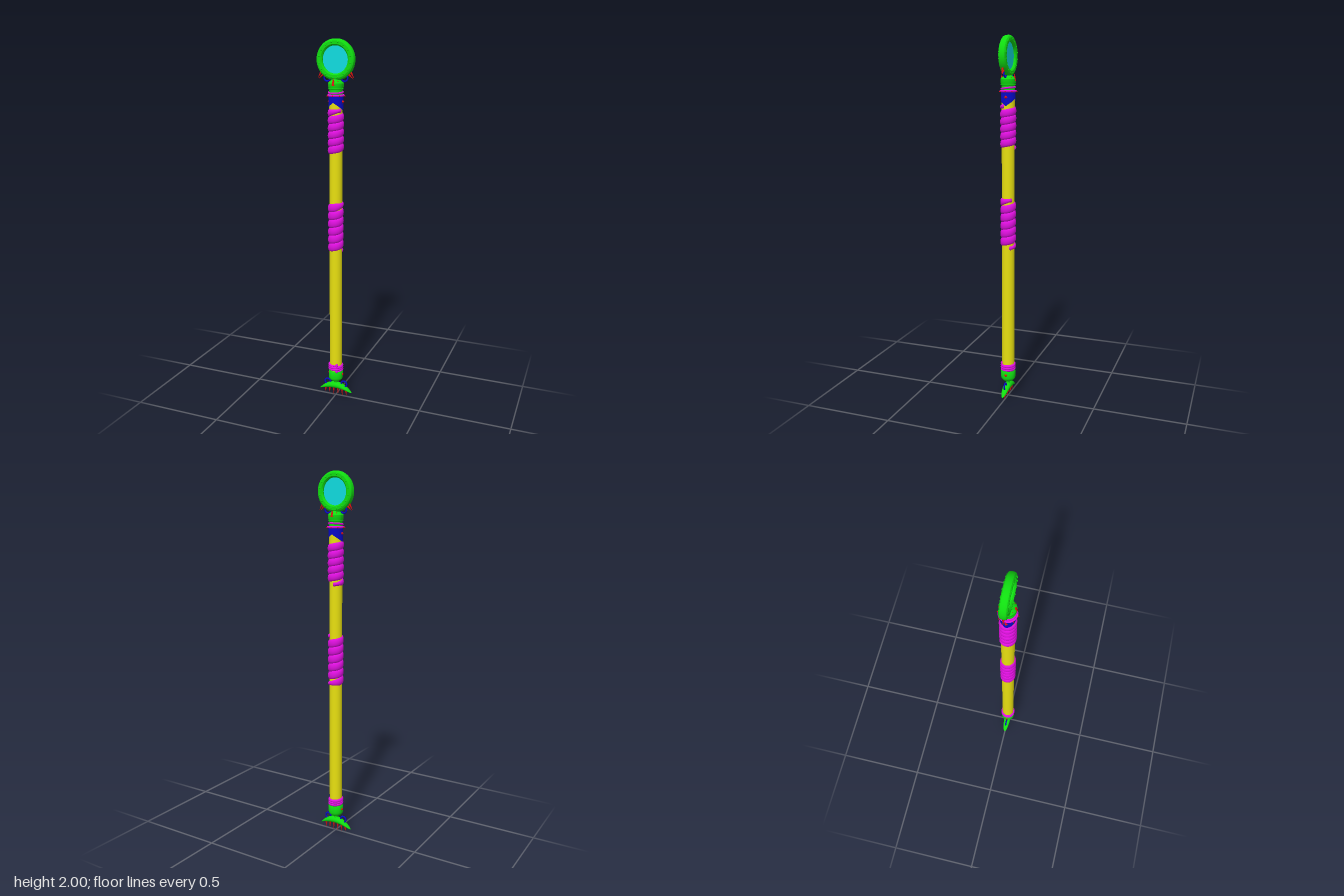
import * as THREE from 'three';
import { toCreasedNormals } from 'three/addons/utils/BufferGeometryUtils.js';
import { ParametricGeometry } from 'three/addons/geometries/ParametricGeometry.js';

const TAU = Math.PI * 2;
const mat = (color) => new THREE.MeshStandardMaterial({ color, side: THREE.DoubleSide });
const gold = mat(0xe8e010), green = mat(0x10dd10), magenta = mat(0xe010e0);
const red = mat(0xe01010), blue = mat(0x0808c8), cyan = mat(0x10dde0);

export function createModel() {
  const root = new THREE.Group();

  function add(name, geometry, material, x = 0, y = 0, z = 0, parent = root) {
    const mesh = new THREE.Mesh(geometry, material);
    mesh.name = name;
    mesh.position.set(x, y, z);
    parent.add(mesh);
    return mesh;
  }
  // Turned part from [radius, height] pairs listed upward
  function turned(name, pts, material) {
    const g = new THREE.LatheGeometry(pts.map(p => new THREE.Vector2(...p)), 32);
    return add(name, toCreasedNormals(g, 0.6), material);
  }
  // Cone whose tip points along dir, with its base centre at the position
  function spike(name, pos, dir, radius, length) {
    const g = new THREE.ConeGeometry(radius, length, 8).translate(0, length / 2, 0);
    const mesh = add(name, g, red, ...pos);
    mesh.quaternion.setFromUnitVectors(new THREE.Vector3(0, 1, 0), new THREE.Vector3(...dir).normalize());
    return mesh;
  }
  // Flattened cord wound around the shaft, tapering at both ends
  function wrap(name, y0, y1, turns, start, half) {
    const f = (u, v, out) => {
      const a = start + u * turns * TAU, s = v * TAU;
      const taper = Math.min(1, 0.35 + 8 * Math.min(u, 1 - u) * turns / 4);
      const r = 0.0335 + 0.0095 * Math.cos(s);
      const y = y0 + half + u * (y1 - y0 - 2 * half) + half * taper * Math.sin(s);
      out.set(r * Math.sin(a), y, r * Math.cos(a));
    };
    add(name, new ParametricGeometry(f, Math.round(turns * 28), 12), magenta);
    // rounded cord ends
    for (const u of [0, 1]) {
      const a = start + u * turns * TAU;
      const end = add(name + 'End', new THREE.SphereGeometry(0.009, 12, 8), magenta,
        0.034 * Math.sin(a), y0 + half + u * (y1 - y0 - 2 * half), 0.034 * Math.cos(a));
      end.scale.y = 1.3;
    }
  }

  // Shaft and grips
  add('shaft', new THREE.CylinderGeometry(0.0345, 0.0345, 1.56, 32), gold, 0, 0.93, 0);
  wrap('upperGrip', 1.40, 1.66, 5.6, 3.5, 0.021);
  wrap('middleGrip', 0.855, 1.165, 6, 2.3, 0.023);
  wrap('lowerBinding', 0.155, 0.208, 3, 0.5, 0.009);

  // Blue collar with a point on each side
  const collar = (u, v, out) => {
    const a = u * TAU;
    const side = Math.abs(Math.asin(Math.sin(a))) / (Math.PI / 2);
    const low = 1.68 - 0.04 * side;
    out.set(0.0385 * Math.sin(a), low + v * (1.718 - low), 0.0385 * Math.cos(a));
  };
  add('collar', new ParametricGeometry(collar, 48, 4), blue);

  // Neck between collar and ring
  turned('neck', [[0, 1.705], [0.036, 1.705], [0.036, 1.73], [0.034, 1.745], [0.041, 1.76],
    [0.041, 1.778], [0.034, 1.788], [0.018, 1.797], [0.014, 1.82], [0, 1.82]], green);
  [[1.716, 0.041, 0.0055], [1.732, 0.037, 0.005], [1.75, 0.036, 0.004]].forEach(([y, r, t], i) => {
    const hoop = add('neckBand', new THREE.TorusGeometry(r, t, 8, 40), i === 2 ? green : magenta, 0, y, 0);
    hoop.rotation.x = Math.PI / 2 + (i === 1 ? 0.12 : 0);
  });
  for (let i = 0; i < 8; i++) {
    const a = i * TAU / 8, s = Math.sin(a), c = Math.cos(a);
    spike('bandSpike', [0.044 * s, 1.715, 0.044 * c], [s, -0.25, c], 0.004, 0.01);
  }
  for (const sz of [-1, 1]) {
    spike('neckFang', [0, 1.768, 0.033 * sz], [0, 1, 0.1 * sz], 0.0115, 0.036);
    for (const sx of [-1, 1])
      spike('smallNeckFang', [0.022 * sx, 1.768, 0.026 * sz], [0, 1, 0], 0.007, 0.026);
  }

  // Head ring with lens and studs
  const head = new THREE.Group();
  head.name = 'head';
  head.position.y = 1.896;
  root.add(head);
  const profile = [[0.07, -0.013], [0.077, -0.02], [0.093, -0.02], [0.101, -0.015], [0.104, -0.007],
    [0.104, 0.007], [0.101, 0.015], [0.093, 0.02], [0.077, 0.02], [0.07, 0.013], [0.07, -0.013]];
  const ringGeo = new THREE.LatheGeometry(profile.map(p => new THREE.Vector2(...p)), 56).rotateX(Math.PI / 2);
  add('ring', toCreasedNormals(ringGeo, 0.55), green, 0, 0, 0, head);
  add('lens', new THREE.CylinderGeometry(0.0715, 0.0715, 0.012, 48).rotateX(Math.PI / 2), cyan, 0, 0, 0, head);
  const studGeo = new THREE.SphereGeometry(0.0045, 10, 8);
  for (let i = 0; i < 16; i++) {
    const a = (i + 0.5) * TAU / 16;
    for (const z of [-0.019, 0.019])
      add('stud', studGeo, green, 0.087 * Math.cos(a), 0.087 * Math.sin(a), z, head);
  }

  // Hoops and spikes beside the neck, hoops above the blade
  const hoopGeo = new THREE.TorusGeometry(0.017, 0.0045, 8, 24);
  for (const s of [-1, 1]) {
    add('upperHoop', hoopGeo, blue, 0.048 * s, 1.804, 0);
    add('lowerHoop', hoopGeo, blue, 0.05 * s, 0.077, 0);
    spike('headSpike', [0.07 * s, 1.822, 0], [s, -0.9, 0], 0.006, 0.036);
    spike('headSpike', [0.082 * s, 1.832, 0], [s, -1.6, 0], 0.006, 0.036);
    spike('headSpike', [0.058 * s, 1.815, 0], [0.7 * s, -1, 0], 0.005, 0.022);
    add('collarGem', new THREE.OctahedronGeometry(0.009), red, 0.038 * s, 1.685, 0);
    add('ferruleGem', new THREE.SphereGeometry(0.008, 12, 8), red, 0.038 * s, 0.138, 0);
  }

  // Ferrule at the foot
  turned('ferrule', [[0, 0.07], [0.01, 0.07], [0.01, 0.094], [0.028, 0.098], [0.039, 0.11],
    [0.041, 0.12], [0.041, 0.155], [0.036, 0.163], [0, 0.163]], green);

  // Curved foot blade, thickest in the middle
  const bladeY = (t) => 0.064 - 0.037 * t * t;
  const blade = (u, v, out) => {
    const t = 2 * u - 1, s = v * TAU;
    const w = Math.sqrt(Math.max(0, 1 - t * t));
    out.set(0.098 * t, bladeY(t) + (0.003 + 0.016 * w) * w * Math.sin(s), 0.021 * w * Math.cos(s));
  };
  add('footBlade', new ParametricGeometry(blade, 40, 20), green);

  // Teeth under the blade
  for (let i = 0; i < 6; i++) {
    const t = (i - 2.5) / 2.5, x = 0.062 * t;
    const top = bladeY(x / 0.098) - 0.008;
    spike('tooth', [x, top, 0], [0.1 * t, -1, 0], 0.0075, top - 0.004 + 0.004 * (1 - Math.abs(t)));
  }
  return root;
}
